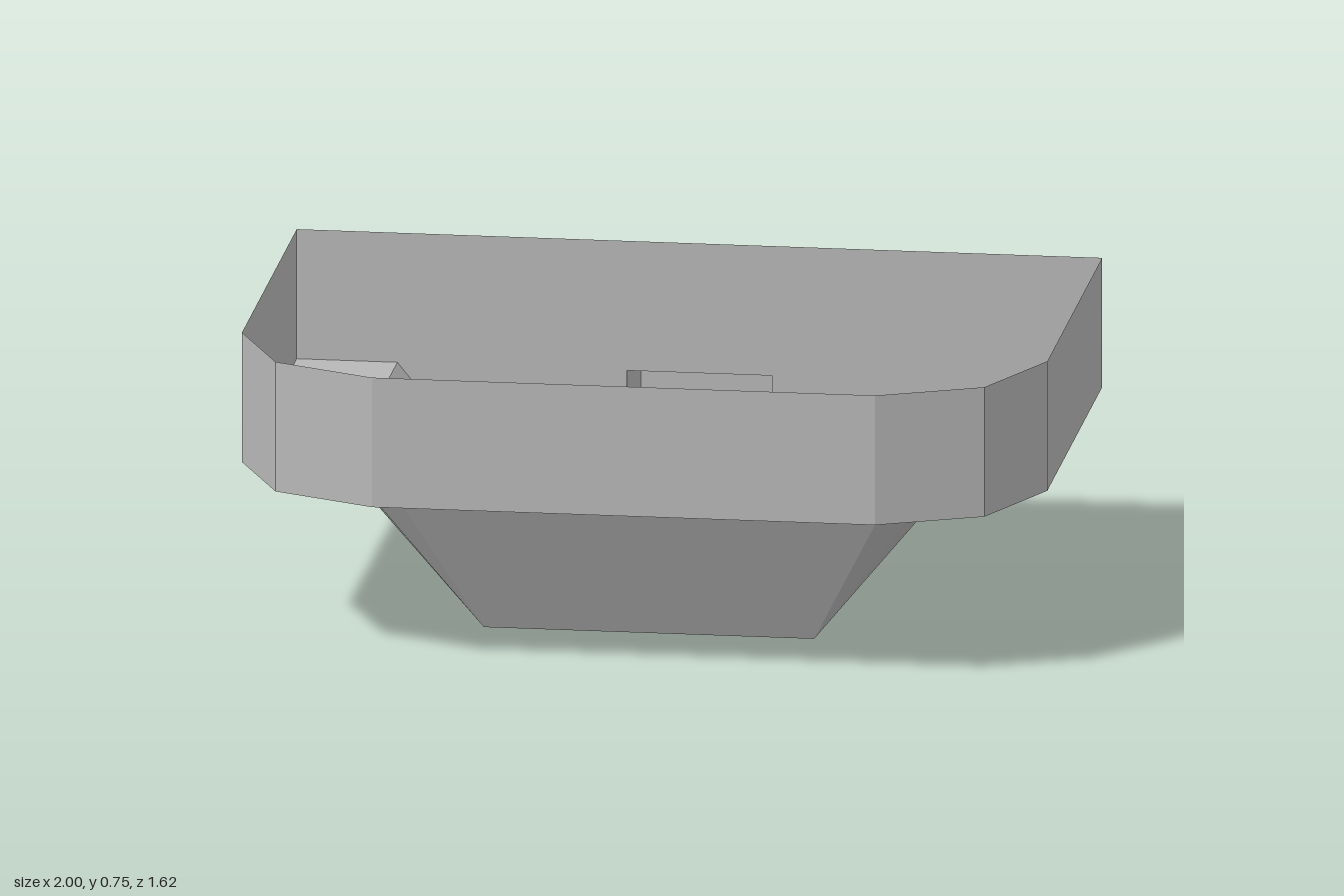
import * as THREE from 'three';

const TOP = 0.75, LEDGE = 0.42, BACK = -0.56, SPOUT_BACK = -0.81, SPOUT = 0.18;

export function createModel() {
  const group = new THREE.Group();
  const grey = new THREE.MeshStandardMaterial({ color: 0xb8b8b8, side: THREE.DoubleSide });
  grey.name = 'grey';

  const add = (name, geometry) => {
    const mesh = new THREE.Mesh(geometry, grey);
    mesh.name = name;
    group.add(mesh);
  };

  // Faceted sheet between two rows of points
  const strip = (name, upper, lower) => {
    const pos = [];
    for (let i = 0; i < upper.length - 1; i++) {
      const [a, b, c, d] = [upper[i], upper[i + 1], lower[i + 1], lower[i]];
      for (const tri of [[a, d, c], [a, c, b]]) {
        const area = new THREE.Triangle(...tri.map(p => new THREE.Vector3(...p))).getArea();
        if (area > 1e-7) pos.push(...tri.flat());
      }
    }
    const g = new THREE.BufferGeometry();
    g.setAttribute('position', new THREE.Float32BufferAttribute(pos, 3));
    g.computeVertexNormals();
    add(name, g);
  };

  // U-shaped outline from back left, round the front, to back right
  const outline = (half, y) => [
    ...half.map(([x, z]) => [-x, y, z]),
    ...half.slice().reverse().map(([x, z]) => [x, y, z]),
  ];
  const outer = [[1, BACK], [1, 0.43], [0.88, 0.695], [0.625, 0.81]];
  const inner = [[0.75, BACK], [0.75, 0.43], [0.71, 0.52], [0.625, 0.56]];
  const floor = [[0.41, BACK], [0.41, 0.35], [0.41, 0.35], [0.41, 0.35]];

  strip('rimWall', outline(outer, TOP), outline(outer, LEDGE));
  strip('ledge', outline(outer, LEDGE), outline(inner, LEDGE));
  strip('basinSlope', outline(inner, LEDGE), outline(floor, 0));
  strip('basinFloor', [[-0.41, 0, BACK], [0.41, 0, BACK]], [[-0.41, 0, 0.35], [0.41, 0, 0.35]]);

  // Back wall, cut away where the spout opens into the basin
  const wall = new THREE.Shape([
    [-1, TOP], [-1, LEDGE], [-0.75, LEDGE], [-0.41, 0], [-SPOUT, 0], [-SPOUT, LEDGE],
    [SPOUT, LEDGE], [SPOUT, 0], [0.41, 0], [0.75, LEDGE], [1, LEDGE], [1, TOP],
  ].map(p => new THREE.Vector2(...p)));
  add('backWall', new THREE.ShapeGeometry(wall).rotateY(Math.PI).translate(0, 0, BACK));

  // Hollow spout behind the back wall
  const spout = y => [[SPOUT, y, BACK], [SPOUT, y, SPOUT_BACK], [-SPOUT, y, SPOUT_BACK], [-SPOUT, y, BACK]];
  strip('spoutWalls', spout(LEDGE), spout(0));
  for (const [name, y] of [['spoutTop', LEDGE], ['spoutFloor', 0]]) {
    strip(name, [[-SPOUT, y, SPOUT_BACK], [SPOUT, y, SPOUT_BACK]], [[-SPOUT, y, BACK], [SPOUT, y, BACK]]);
  }
  return group;
}
